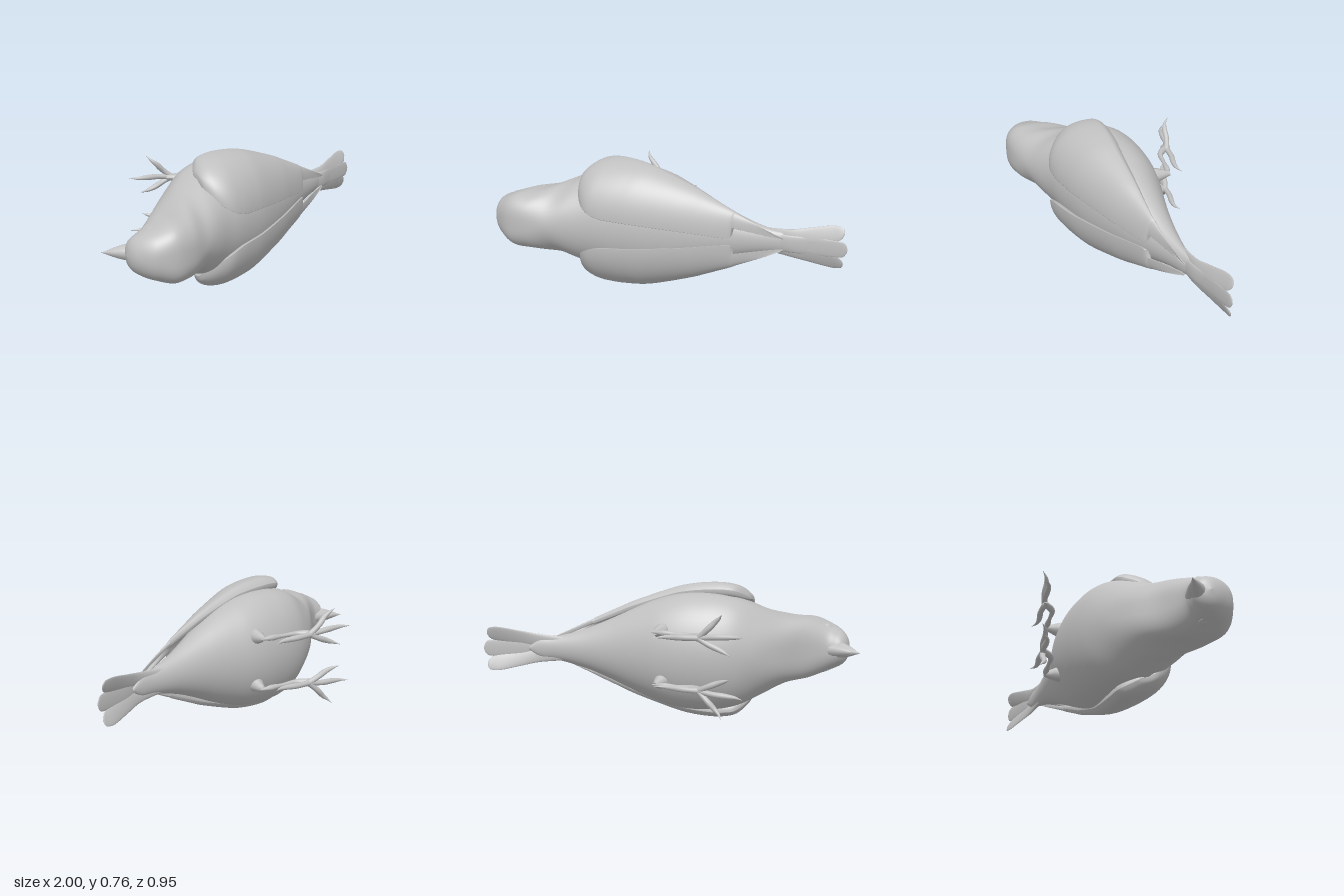
import * as THREE from 'three';

const MID = 0.38; // height of the bird's plane of symmetry (it lies on its side)
const feather = new THREE.MeshStandardMaterial({ color: 0xc0c0c0 });
feather.name = 'plain grey';

// Smoothly resample a table of stations, column by column
function resample(rows, steps) {
  const out = [];
  const last = rows.length - 1;
  for (let i = 0; i <= last * steps; i++) {
    const k = Math.min(Math.floor(i / steps), last - 1);
    const t = i / steps - k;
    const [a, b, c, d] = [k - 1, k, k + 1, k + 2].map((j) => rows[Math.max(0, Math.min(last, j))]);
    out.push(b.map((_, n) => 0.5 * (2 * b[n] + (c[n] - a[n]) * t
      + (2 * a[n] - 5 * b[n] + 4 * c[n] - d[n]) * t * t
      + (3 * b[n] - a[n] - 3 * c[n] + d[n]) * t * t * t)));
  }
  return out;
}

// Skin closed rings of points, close both ends and face the surface outward
function loft(rings) {
  const n = rings[0].length;
  const pos = rings.flat();
  const index = [];
  for (let i = 0; i < rings.length - 1; i++) {
    for (let j = 0; j < n; j++) {
      const a = i * n + j, b = i * n + (j + 1) % n;
      index.push(a, b, a + n, b, b + n, a + n);
    }
  }
  [0, rings.length - 1].forEach((r) => {
    const c = pos.length;
    const sum = rings[r].reduce((s, p) => s.add(p), new THREE.Vector3());
    pos.push(sum.divideScalar(n));
    for (let j = 0; j < n; j++) {
      const a = r * n + j, b = r * n + (j + 1) % n;
      if (r === 0) index.push(c, b, a);
      else index.push(c, a, b);
    }
  });
  let volume = 0;
  for (let i = 0; i < index.length; i += 3) {
    volume += pos[index[i]].dot(pos[index[i + 1]].clone().cross(pos[index[i + 2]]));
  }
  if (volume < 0) index.reverse();
  const geo = new THREE.BufferGeometry().setFromPoints(pos);
  geo.setIndex(index);
  geo.computeVertexNormals();
  return geo;
}

// Tube along [x, y, z] points with a radius at each point
function limb(points, radii) {
  const curve = new THREE.CatmullRomCurve3(points.map((p) => new THREE.Vector3(...p)));
  const steps = 28, sides = 12;
  const geo = new THREE.TubeGeometry(curve, steps, 1, sides);
  const size = resample(radii.map((r) => [r]), steps);
  const pos = geo.attributes.position;
  const v = new THREE.Vector3();
  for (let i = 0; i <= steps; i++) {
    const c = curve.getPointAt(i / steps);
    const r = Math.max(0.0005, size[i * (radii.length - 1)][0]);
    for (let j = 0; j <= sides; j++) {
      const k = i * (sides + 1) + j;
      v.fromBufferAttribute(pos, k).sub(c).multiplyScalar(r).add(c);
      pos.setXYZ(k, v.x, v.y, v.z);
    }
  }
  geo.computeVertexNormals();
  return geo;
}

// Head, breast, belly and rump: x, belly z, back z, half width, sag of the widest line, squareness
function bodyGeometry() {
  const rows = [
    [-0.912, 0.298, 0.302, 0.002, 0, 2], [-0.902, 0.25, 0.345, 0.05, 0, 2], [-0.88, 0.217, 0.385, 0.085, 0, 2],
    [-0.84, 0.203, 0.428, 0.112, 0, 2.2], [-0.79, 0.18, 0.455, 0.134, 0, 2.5], [-0.7, 0.09, 0.472, 0.168, 0, 3],
    [-0.6, -0.05, 0.447, 0.184, 0.05, 2.7], [-0.5, -0.165, 0.39, 0.232, 0.28, 2], [-0.4, -0.242, 0.332, 0.285, 0.3, 2],
    [-0.3, -0.29, 0.275, 0.315, 0.22, 2], [-0.2, -0.32, 0.232, 0.326, 0.15, 2], [-0.1, -0.338, 0.185, 0.324, 0.1, 2],
    [0, -0.344, 0.135, 0.308, 0.05, 2], [0.1, -0.338, 0.075, 0.276, 0, 2], [0.2, -0.332, 0.01, 0.232, 0, 2],
    [0.3, -0.33, -0.058, 0.183, 0, 2], [0.42, -0.334, -0.145, 0.128, 0, 2], [0.52, -0.342, -0.215, 0.092, 0, 2],
    [0.62, -0.353, -0.278, 0.066, 0, 2], [0.7, -0.367, -0.328, 0.05, 0, 2], [0.76, -0.378, -0.362, 0.01, 0, 2],
  ];
  return loft(resample(rows, 5).map(([x, lo, hi, w, sag, power]) => {
    const ring = [];
    const wide = (lo + hi) / 2 - sag * (hi - lo) / 2;
    for (let j = 0; j < 56; j++) {
      const a = j / 56 * Math.PI * 2;
      const c = Math.sign(Math.cos(a)) * Math.pow(Math.abs(Math.cos(a)), 2 / power);
      const s = Math.pow(Math.abs(Math.sin(a)), 2 / power);
      ring.push(new THREE.Vector3(x, MID + w * c, wide + s * ((Math.sin(a) > 0 ? hi : lo) - wide)));
    }
    return ring;
  }));
}

// Folded wing: x, widest offset, z there, inner offset, upper z, thickness
function wingGeometry(s) {
  const coverts = [
    [-0.404, 0.285, 0.1, 0.27, 0.115, 0.004], [-0.394, 0.315, 0.07, 0.232, 0.172, 0.035],
    [-0.35, 0.36, 0.005, 0.172, 0.232, 0.06], [-0.28, 0.378, -0.018, 0.122, 0.264, 0.07],
    [-0.2, 0.38, -0.034, 0.09, 0.25, 0.07], [-0.1, 0.37, -0.052, 0.08, 0.207, 0.068],
    [0, 0.347, -0.07, 0.072, 0.155, 0.062], [0.2, 0.275, -0.123, 0.05, 0.03, 0.05],
    [0.3, 0.23, -0.15, 0.037, -0.04, 0.045], [0.42, 0.174, -0.183, 0.02, -0.125, 0.035],
    [0.445, 0.16, -0.193, 0.028, -0.148, 0.03],
  ];
  const flightFeathers = [
    [0.446, 0.159, -0.193, 0.078, -0.158, 0.028],
    [0.55, 0.108, -0.229, 0.055, -0.222, 0.024], [0.65, 0.058, -0.275, 0.035, -0.28, 0.018],
    [0.69, 0.035, -0.3, 0.03, -0.302, 0.004],
  ];
  const n = 28, tuck = 0.5;
  return loft([...resample(coverts, 6), ...resample(flightFeathers, 6)].map(([x, ho, zl, hi, zh, th]) => {
    const ring = [];
    const under = 0.75 * ho * ho; // the lower edge curls in under the widest line
    for (let j = 0; j < 2 * n; j++) {
      const inner = j >= n;
      const u = 0.5 - 0.5 * Math.cos((inner ? 2 * n - j : j) / n * Math.PI);
      const t = -tuck + u * (Math.PI / 2 + tuck);
      const round = Math.sqrt(Math.max(0, 1 - Math.pow(2 * u - 1, 6)));
      const d = inner ? th * round : 0;
      const h = hi + (ho - hi) * Math.cos(t) - d * Math.cos(t);
      const z = zl + (t < 0 ? under : zh - zl) * Math.sin(t) - d * Math.max(0, Math.sin(t));
      ring.push(new THREE.Vector3(x, MID + s * h, z));
    }
    return ring;
  }));
}

// Tail feather: x, side offset, z, half width, half thickness, roll
function tailGeometry(rows, s) {
  return loft(resample(rows, 6).map(([x, h, z, w, t, roll]) => {
    const ring = [];
    for (let j = 0; j < 28; j++) {
      const a = j / 28 * Math.PI * 2;
      const p = w * Math.cos(a), q = t * Math.sin(a);
      ring.push(new THREE.Vector3(x, MID + s * (h + p * Math.cos(roll) + q * Math.sin(roll)),
        z - p * Math.sin(roll) + q * Math.cos(roll)));
    }
    return ring;
  }));
}

export function createModel() {
  const bird = new THREE.Group();
  bird.name = 'bird';
  const add = (name, geo) => {
    const mesh = new THREE.Mesh(geo, feather);
    mesh.name = name;
    bird.add(mesh);
    return mesh;
  };

  add('body', bodyGeometry());
  add('upperBeak', limb([[-0.82, MID, 0.265], [-0.88, MID, 0.237], [-0.94, MID, 0.207], [-1, MID, 0.175]],
    [0.05, 0.044, 0.025, 0.001]));
  add('lowerBeak', limb([[-0.81, MID, 0.235], [-0.87, MID, 0.216], [-0.92, MID, 0.2], [-0.975, MID, 0.182]],
    [0.042, 0.033, 0.02, 0.001]));

  add('middleTail', tailGeometry([
    [0.52, 0, -0.29, 0.05, 0.02, 0], [0.7, 0, -0.333, 0.05, 0.013, 0], [0.8, 0, -0.38, 0.05, 0.009, 0],
    [0.9, 0, -0.423, 0.05, 0.007, 0], [0.97, 0, -0.452, 0.045, 0.006, 0],
    [0.99, 0, -0.461, 0.03, 0.005, 0], [1, 0, -0.465, 0.004, 0.002, 0],
  ], 1));

  for (const s of [1, -1]) {
    const side = s > 0 ? 'left' : 'right';
    const y = (h) => MID + s * h;
    add(side + 'Wing', wingGeometry(s));
    add(side + 'Tail', tailGeometry([
      [0.54, 0.025, -0.31, 0.04, 0.016, 0.1], [0.7, 0.038, -0.343, 0.043, 0.012, 0.2],
      [0.8, 0.056, -0.388, 0.047, 0.009, 0.3], [0.9, 0.078, -0.438, 0.048, 0.007, 0.36],
      [0.95, 0.084, -0.458, 0.04, 0.006, 0.36], [0.968, 0.086, -0.466, 0.024, 0.005, 0.35],
      [0.975, 0.087, -0.468, 0.003, 0.002, 0.3],
    ], s));

    // Eye set in a raised lid, turned to follow the narrowing face
    const eye = add(side + 'Eye', new THREE.SphereGeometry(0.031, 24, 16));
    eye.scale.y = 0.5;
    eye.position.set(-0.785, y(0.122), 0.3);
    eye.rotation.z = s * 0.4;
    const lid = add(side + 'Eyelid', new THREE.TorusGeometry(0.031, 0.007, 10, 32));
    lid.rotation.set(Math.PI / 2, s * 0.4, 0, 'ZYX');
    lid.rotation.set(Math.PI / 2, 0, s * 0.4, 'ZYX');
    lid.position.set(-0.785, y(0.128), 0.3);

    // Leg folded forward from the belly, then the foot
    add(side + 'Thigh', limb([[-0.03, y(0.135), -0.27], [-0.026, y(0.138), -0.32], [-0.024, y(0.141), -0.355],
      [-0.024, y(0.143), -0.394]], [0.04, 0.042, 0.028, 0.014]));
    add(side + 'Shank', limb([[-0.005, y(0.143), -0.389], [-0.04, y(0.143), -0.389], [-0.15, y(0.142), -0.388],
      [-0.24, y(0.14), -0.39], [-0.28, y(0.14), -0.412], [-0.32, y(0.14), -0.448]],
    [0.004, 0.016, 0.011, 0.013, 0.018, 0.018]));

    const toes = {
      OuterToe: [[-0.29, 0.14, -0.44], [-0.34, 0.185, -0.45], [-0.385, 0.23, -0.447], [-0.41, 0.252, -0.455], [-0.43, 0.275, -0.474]],
      MiddleToe: [[-0.29, 0.14, -0.44], [-0.37, 0.15, -0.45], [-0.45, 0.155, -0.447], [-0.5, 0.157, -0.452], [-0.545, 0.16, -0.474]],
      InnerToe: [[-0.29, 0.14, -0.44], [-0.34, 0.115, -0.45], [-0.4, 0.09, -0.447], [-0.44, 0.075, -0.455], [-0.475, 0.062, -0.474]],
      BackToe: [[-0.31, 0.14, -0.44], [-0.22, 0.138, -0.45], [-0.14, 0.135, -0.446], [-0.09, 0.133, -0.452], [-0.05, 0.13, -0.474]],
    };
    for (const [name, points] of Object.entries(toes)) {
      add(side + name, limb(points.map(([x, h, z]) => [x, y(h), z]), [0.017, 0.015, 0.016, 0.011, 0.001]));
    }
  }
  return bird;
}
